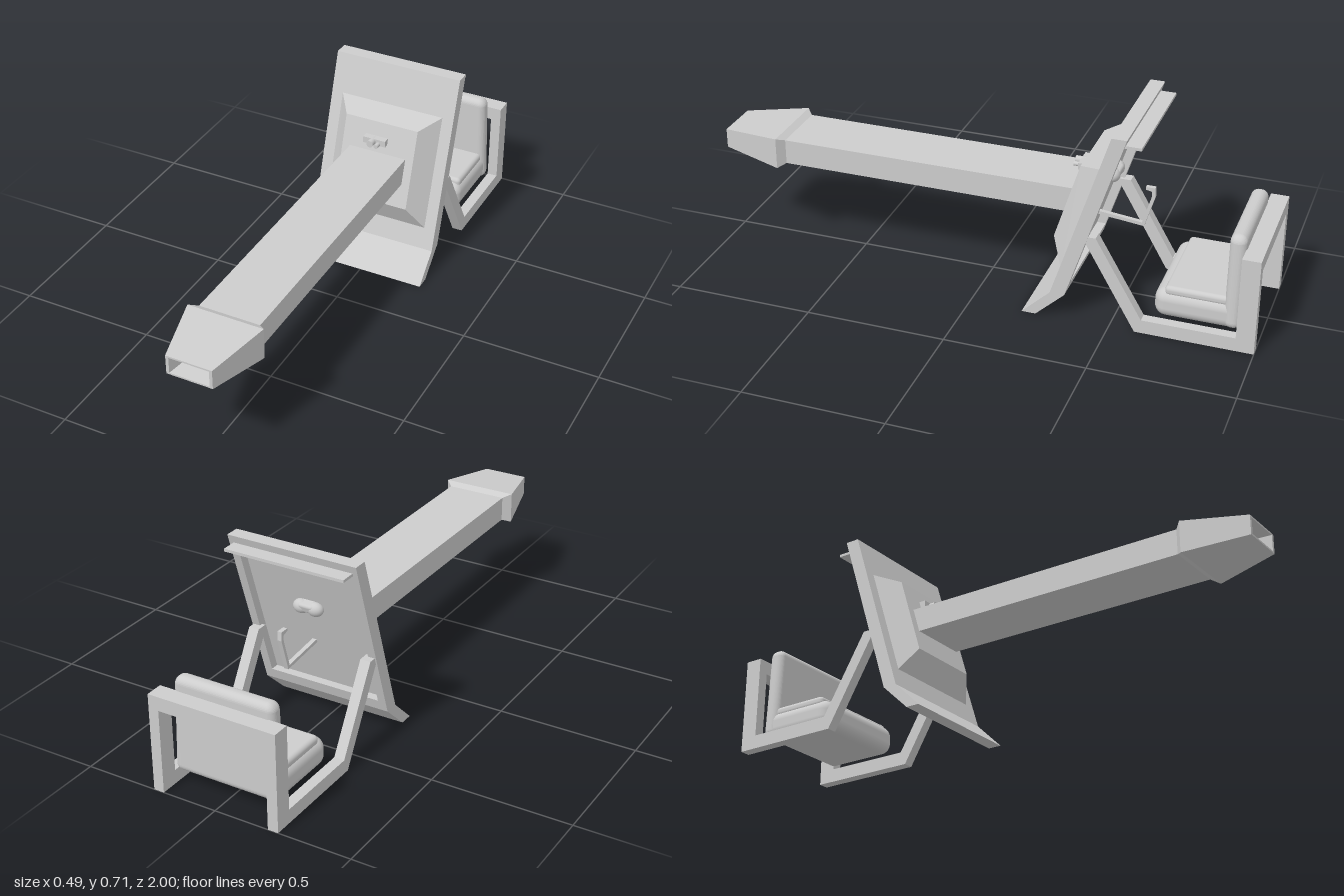
import * as THREE from 'three';
import { RoundedBoxGeometry } from 'three/addons/geometries/RoundedBoxGeometry.js';

const grey = new THREE.MeshStandardMaterial({ color: 0xcccccc });
grey.name = 'plain grey';

// Front face of the sloping shield at height y
const LEAN = 0.319;
const frontZ = (y) => -0.29 - (y - 0.096) * LEAN;

function add(parent, name, geometry, x = 0, y = 0, z = 0) {
  const mesh = new THREE.Mesh(geometry, grey);
  mesh.name = name;
  mesh.position.set(x, y, z);
  parent.add(mesh);
  return mesh;
}

// Side profile of [z, y] points, extruded from x0 to x1
function prism(points, x0, x1) {
  const shape = new THREE.Shape(points.map(([z, y]) => new THREE.Vector2(-z, y)));
  const g = new THREE.ExtrudeGeometry(shape, { depth: x1 - x0, bevelEnabled: false });
  g.rotateY(Math.PI / 2);
  g.translate(x0, 0, 0);
  return g;
}

// Flat-sided skin over rectangles [halfWidth, yBottom, yTop, zBottom, zTop], capped at the end
function loft(sections) {
  const rings = sections.map(([w, yb, yt, zb, zt = zb]) =>
    [[-w, yb, zb], [w, yb, zb], [w, yt, zt], [-w, yt, zt]]);
  const pos = [];
  const quad = (a, b, c, d) => [a, b, c, a, c, d].forEach((p) => pos.push(...p));
  for (let i = 0; i < rings.length - 1; i++) {
    for (let j = 0; j < 4; j++) {
      const k = (j + 1) % 4;
      quad(rings[i][j], rings[i][k], rings[i + 1][k], rings[i + 1][j]);
    }
  }
  quad(...rings[rings.length - 1]);
  const g = new THREE.BufferGeometry();
  g.setAttribute('position', new THREE.Float32BufferAttribute(pos, 3));
  g.computeVertexNormals();
  return g;
}

// Strip of the shield between two heights and two depths behind its front
function slab(y0, y1, d0, d1, x0, x1) {
  return prism([
    [frontZ(y0) - d0, y0], [frontZ(y0) - d1, y0],
    [frontZ(y1) - d1, y1], [frontZ(y1) - d0, y1],
  ], x0, x1);
}

function buildShield() {
  const shield = new THREE.Group();
  shield.name = 'shield';
  const w = 0.243, rim = 0.03, top = 0.715, bend = 0.096;
  add(shield, 'shieldPanel', slab(bend, top, 0, 0.02, -w, w));
  add(shield, 'topRim', slab(top - rim, top, 0.02, 0.052, -w, w));
  add(shield, 'bottomRim', slab(bend, bend + 0.04, 0.02, 0.052, -w, w));
  for (const s of [-1, 1]) {
    const a = s * w, b = s * (w - rim);
    add(shield, 'sideRim', slab(bend + 0.04, top - rim, 0.02, 0.052, Math.min(a, b), Math.max(a, b)));
  }
  add(shield, 'lowerLip', prism([[-0.29, bend], [-0.19, 0], [-0.24, 0], [-0.342, bend]], -w, w));
  // Thin ledge behind the top edge
  add(shield, 'rearLedge', new THREE.BoxGeometry(0.45, 0.01, 0.07), 0, 0.682, -0.55);
  // Raised block the barrel passes through
  add(shield, 'barrelMount', loft([
    [0.2, 0.173, 0.574, frontZ(0.173), frontZ(0.574)],
    [0.142, 0.262, 0.545, -0.27, -0.358],
  ]));
  return shield;
}

function buildSight() {
  const sight = new THREE.Group();
  sight.name = 'sight';
  add(sight, 'sightBody', new THREE.BoxGeometry(0.088, 0.024, 0.03), -0.011, 0.483, -0.332);
  for (const [x, y, r] of [[-0.018, 0.483, 0.013], [0.006, 0.478, 0.008]]) {
    const g = new THREE.CylinderGeometry(r, r, 0.04, 20);
    g.rotateX(Math.PI / 2);
    add(sight, 'sightLens', g, x, y, -0.315);
  }
  // Padded eyepiece on the gunner's side
  const eyepiece = new THREE.Group();
  eyepiece.name = 'eyepiece';
  eyepiece.position.set(0, 0.47, frontZ(0.47) - 0.032);
  eyepiece.rotation.x = -Math.atan(LEAN);
  for (const s of [-1, 1]) {
    const g = new THREE.SphereGeometry(0.03, 20, 12);
    g.scale(1, 0.85, 0.8);
    add(eyepiece, 'eyeCup', g, s * 0.027);
  }
  add(eyepiece, 'eyeBridge', new RoundedBoxGeometry(0.06, 0.034, 0.04, 3, 0.01), 0, 0.006, 0);
  sight.add(eyepiece);
  return sight;
}

function buildSeat() {
  const seat = new THREE.Group();
  seat.name = 'seat';
  add(seat, 'seatBase', new RoundedBoxGeometry(0.39, 0.105, 0.295, 5, 0.04), 0, 0.097, -0.787);
  add(seat, 'seatPad', new RoundedBoxGeometry(0.37, 0.035, 0.22, 4, 0.015), 0, 0.148, -0.785);
  // Backrest narrows a little toward its rounded top
  const back = new RoundedBoxGeometry(0.4, 0.35, 0.058, 5, 0.026);
  const p = back.attributes.position;
  for (let i = 0; i < p.count; i++) {
    const t = Math.max(0, p.getY(i) / 0.175);
    p.setX(i, p.getX(i) * (1 - 0.08 * t * t));
  }
  back.computeVertexNormals();
  add(seat, 'backrest', back, 0, 0.227, -0.91);
  return seat;
}

export function createModel() {
  const model = new THREE.Group();
  model.name = 'mountedGun';
  model.add(buildShield(), buildSight(), buildSeat());

  // Barrel, flared muzzle and tapering bore in one skin
  add(model, 'barrel', loft([
    [0.111, 0.347, 0.438, -0.38],
    [0.111, 0.347, 0.438, 0.75],
    [0.138, 0.335, 0.45, 0.775],
    [0.083, 0.357, 0.428, 1],
    [0.072, 0.363, 0.422, 1],
    [0.027, 0.383, 0.405, 0.82],
  ]));

  // Seat frame: bent side rails joined by a rear beam
  const frame = new THREE.Group();
  frame.name = 'seatFrame';
  const rail = [
    [-0.405, 0.335], [-0.41, 0.31], [-0.59, 0], [-1, 0], [-1, 0.353],
    [-0.936, 0.353], [-0.936, 0.05], [-0.612, 0.05], [-0.445, 0.335],
  ];
  add(frame, 'leftRail', prism(rail, 0.2, 0.238));
  add(frame, 'rightRail', prism(rail, -0.238, -0.2));
  add(frame, 'rearBeam', new THREE.BoxGeometry(0.4, 0.05, 0.064), 0, 0.328, -0.968);
  model.add(frame);

  // Control lever: rod from the shield with an upright hooked grip
  add(model, 'controlLever', prism([
    [-0.37, 0.322], [-0.37, 0.31], [-0.555, 0.29], [-0.59, 0.41], [-0.588, 0.442],
    [-0.555, 0.442], [-0.555, 0.432], [-0.576, 0.428], [-0.578, 0.41], [-0.547, 0.303],
  ], 0.009, 0.025));
  return model;
}
